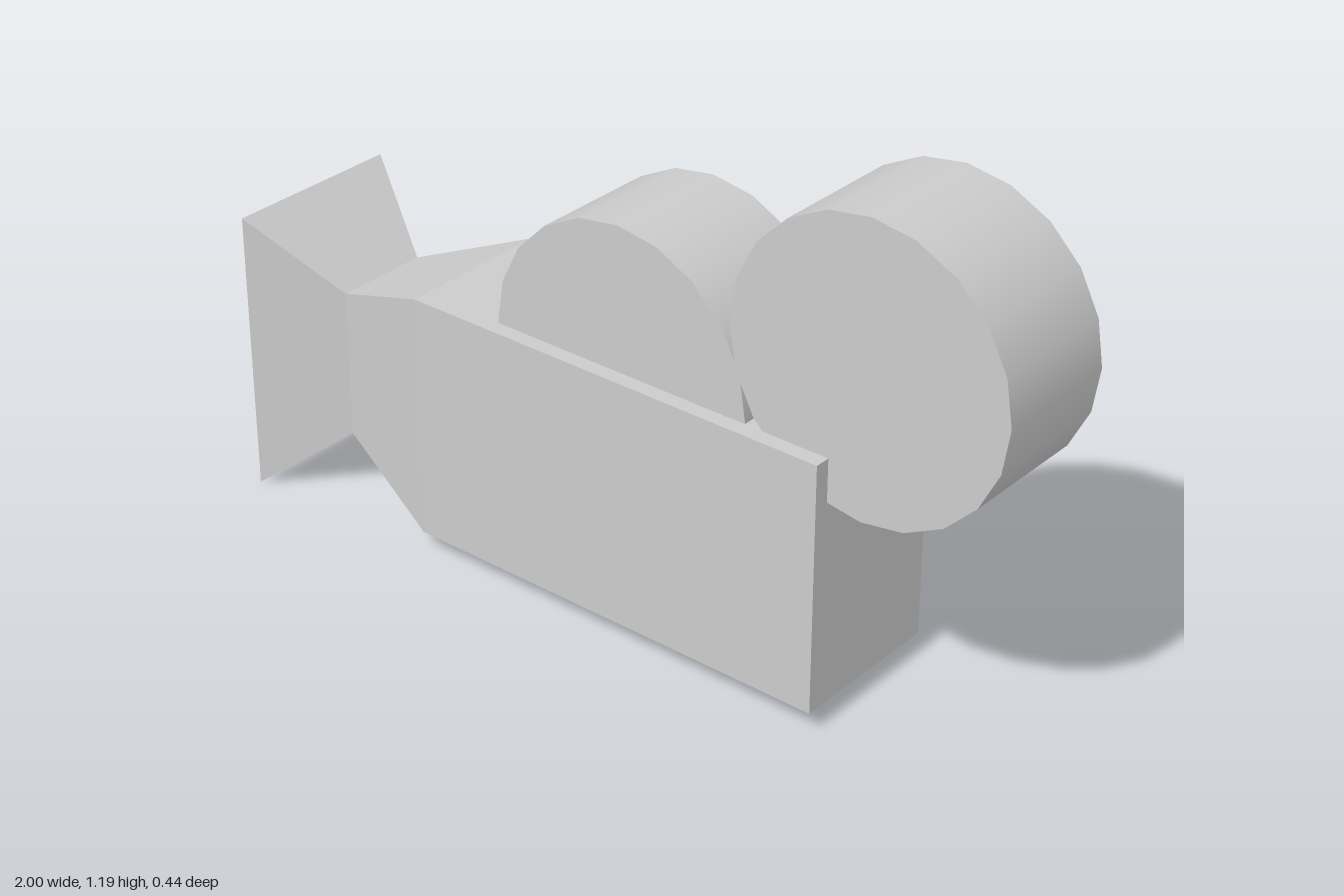
import * as THREE from 'three';

const material = new THREE.MeshStandardMaterial({ color: 0xcccccc });
const flatMaterial = new THREE.MeshStandardMaterial({ color: 0xcccccc, flatShading: true });

// Closed loft through rectangular sections along x: [x, bottom, top, halfDepth]
function loftBoxes(sections) {
  const pos = [];
  const rings = sections.map(([x, y0, y1, d]) => [[x, y0, d], [x, y1, d], [x, y1, -d], [x, y0, -d]]);
  const quad = (a, b, c, d) => pos.push(...a, ...b, ...c, ...a, ...c, ...d);
  for (let s = 0; s < rings.length - 1; s++) {
    const r = rings[s], q = rings[s + 1];
    for (let i = 0; i < 4; i++) {
      const j = (i + 1) % 4;
      quad(r[i], q[i], q[j], r[j]);
    }
  }
  const [a, b, c, d] = rings[0];
  quad(a, b, c, d);
  const [e, f, g, h] = rings[rings.length - 1];
  quad(h, g, f, e);
  const geo = new THREE.BufferGeometry();
  geo.setAttribute('position', new THREE.Float32BufferAttribute(pos, 3));
  geo.computeVertexNormals();
  return geo;
}

export function createModel() {
  const model = new THREE.Group();
  model.name = 'movieCamera';

  const add = (name, geometry, mat) => {
    const mesh = new THREE.Mesh(geometry, mat);
    mesh.name = name;
    model.add(mesh);
    return mesh;
  };

  // Box body tapering to the lens neck
  add('body', loftBoxes([
    [-0.79, 0.163, 0.525, 0.116],
    [-0.5, 0.049, 0.639, 0.191],
    [0.585, 0.049, 0.639, 0.191],
  ]), flatMaterial);

  // Flared lens hood
  add('lensHood', loftBoxes([
    [-1, 0, 0.685, 0.22],
    [-0.79, 0.163, 0.525, 0.116],
  ]), flatMaterial);

  // Two film reels, the front one half sunk in the body
  const reel = new THREE.CylinderGeometry(0.333, 0.333, 0.308, 20).rotateX(Math.PI / 2);
  add('frontReel', reel, material).position.set(0.044, 0.643, 0);
  add('rearReel', reel, material).position.set(0.667, 0.858, 0);

  return model;
}
